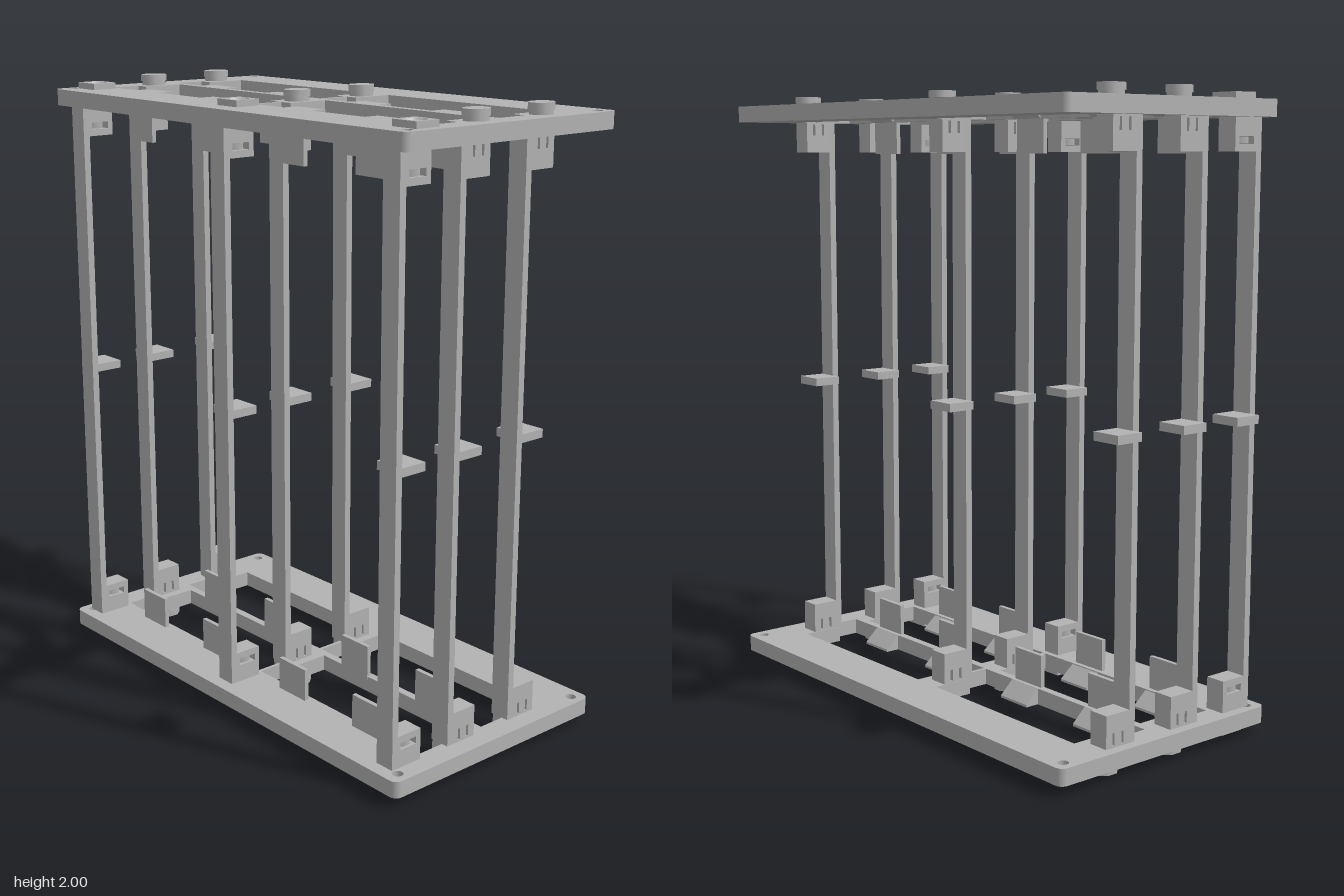
import * as THREE from 'three';

const MID = 1, INNER = 0.912, OUTER = 0.965; // plate faces, measured from mid height

export function createModel() {
  const model = new THREE.Group();
  const gray = new THREE.MeshStandardMaterial({ color: 0xb2b2b2 });
  gray.name = 'plain gray';
  gray.side = THREE.DoubleSide;

  const add = (parent, name, geometry, x = 0, y = 0, z = 0) => {
    const mesh = new THREE.Mesh(geometry, gray);
    mesh.name = name;
    mesh.position.set(x, y, z);
    parent.add(mesh);
    return mesh;
  };
  const box = (parent, name, x0, x1, y0, y1, z0, z1) => add(parent, name,
    new THREE.BoxGeometry(x1 - x0, Math.abs(y1 - y0), z1 - z0),
    (x0 + x1) / 2, (y0 + y1) / 2, (z0 + z1) / 2);
  const vectors = (points) => points.map(([a, b]) => new THREE.Vector2(a, b));
  const circle = (x, z, r) => new THREE.Path().absarc(x, -z, r, 0, Math.PI * 2, true);

  // Outline in x, z extruded upwards
  const slab = (shape, height) => new THREE.ExtrudeGeometry(shape,
    { depth: height, bevelEnabled: false, curveSegments: 10 }).rotateX(-Math.PI / 2);
  // Outline in z, y extruded along x
  const side = (points, holes, x0, x1) => {
    const flip = (list) => vectors(list.map(([z, y]) => [-z, y]));
    const shape = new THREE.Shape(flip(points));
    shape.holes = holes.map((h) => new THREE.Path(flip(h)));
    return new THREE.ExtrudeGeometry(shape, { depth: x1 - x0, bevelEnabled: false })
      .rotateY(Math.PI / 2).translate(x0, 0, 0);
  };
  const rect = (z0, z1, y0, y1) => [[z0, y0], [z1, y0], [z1, y1], [z0, y1]];

  const columns = [-0.766, 0, 0.766];
  const clipRows = [-0.187, 0.082];
  const boltRow = 0.314;

  // Plate outline with rounded corners, four openings and screw holes
  const W = 0.847, D = 0.43, R = 0.025;
  const outline = new THREE.Shape();
  outline.absarc(W - R, D - R, R, 0, Math.PI / 2);
  outline.absarc(-W + R, D - R, R, Math.PI / 2, Math.PI);
  outline.absarc(-W + R, -D + R, R, Math.PI, Math.PI * 1.5);
  outline.absarc(W - R, -D + R, R, Math.PI * 1.5, Math.PI * 2);
  for (const m of [-1, 1]) {
    for (const [a, b, c] of [[-0.26, -0.12, -0.016], [0.011, 0.15, 0.252]]) {
      outline.holes.push(new THREE.Path(vectors([
        [0.05, a], [0.715, a], [0.715, b], [0.762, b],
        [0.762, c], [0.006, c], [0.006, b], [0.05, b],
      ].map(([x, z]) => [x * m, -z]))));
    }
    for (const z of [-0.387, 0.384]) outline.holes.push(circle(m * 0.807, z, 0.017));
  }
  for (const x of columns) outline.holes.push(circle(x, boltRow, 0.017));

  // Raised square boss with a countersunk hole
  const bossShape = new THREE.Shape(vectors([[-0.047, -0.043], [0.047, -0.043], [0.047, 0.043], [-0.047, 0.043]]));
  bossShape.holes.push(circle(0, 0, 0.034));
  const bossGeometry = slab(bossShape, 0.02);
  const sinkGeometry = new THREE.CylinderGeometry(0.034, 0.018, 0.019, 24, 1, true);

  for (const s of [-1, 1]) {
    const end = new THREE.Group();
    end.name = s > 0 ? 'topEnd' : 'bottomEnd';
    end.position.y = MID;
    model.add(end);
    add(end, 'plate', slab(outline, OUTER - INNER), 0, s > 0 ? INNER : -OUTER, 0);

    for (const x of columns) {
      add(end, 'squareBoss', bossGeometry, x, s > 0 ? OUTER : -OUTER - 0.02, boltRow);
      const sink = add(end, 'countersink', sinkGeometry, x, s * (OUTER + 0.0105), boltRow);
      if (s < 0) sink.rotation.x = Math.PI;
      // Eight-sided clip heads with a narrower neck
      for (const z of clipRows) {
        const neck = new THREE.CylinderGeometry(0.036, 0.036, 0.014, 8).rotateY(Math.PI / 8).scale(1, 1, 1.15);
        const head = new THREE.CylinderGeometry(0.039, 0.039, 0.022, 8).rotateY(Math.PI / 8).scale(1, 1, 1.18);
        add(end, 'clipNeck', neck, x, s * (OUTER + 0.007), z);
        add(end, 'clipHead', head, x, s * (OUTER + 0.024), z);
      }
    }

    // Guide tabs: an upright lip with a ramp through the plate
    for (const z of [0, 0.272]) {
      const back = z ? 0.2 : -0.065;
      const profile = [[z + 0.012, 0.805], [z - 0.003, 0.805], [z - 0.003, INNER],
        [z - 0.016, INNER], [back, 0.957], [back, OUTER], [z + 0.011, OUTER], [z + 0.012, INNER]];
      for (const x of [-0.56, -0.208, 0.205, 0.56]) {
        add(end, 'guideTab', side(profile.map(([a, y]) => [a, s * y]), [], x - 0.064, x + 0.064));
      }
    }
  }

  // Nine uprights: a flat strip, a middle ledge and a block at each end
  for (const x of columns) {
    const x0 = x - 0.048, x1 = x + 0.019;
    for (const front of [0.386, 0.156, -0.11]) {
      const upright = new THREE.Group();
      upright.name = 'upright';
      upright.position.y = MID;
      model.add(upright);
      const back = front - 0.115;
      box(upright, 'strip', x0, x1, -INNER, INNER, front - 0.023, front);
      box(upright, 'ledge', x0 - 0.034, x1, -0.007, 0.02, back, front - 0.02);
      for (const s of [-1, 1]) {
        const bolted = front > 0.3;
        const holes = bolted
          ? [rect(0.289, 0.352, s * 0.832, s * 0.855)]
          : [0.044, 0.08].map((d) => rect(back + d - 0.019, back + d - 0.01, s * 0.868, s * 0.906));
        add(upright, 'endBlock', side(rect(back, front - 0.02, s * 0.81, s * INNER), holes, x0, x1));
        if (bolted) {
          // Nut captured in the slot
          add(upright, 'nut', new THREE.CylinderGeometry(0.03, 0.03, 0.021, 6), x - 0.015, s * 0.8435, 0.3205);
        }
      }
    }
  }
  return model;
}
